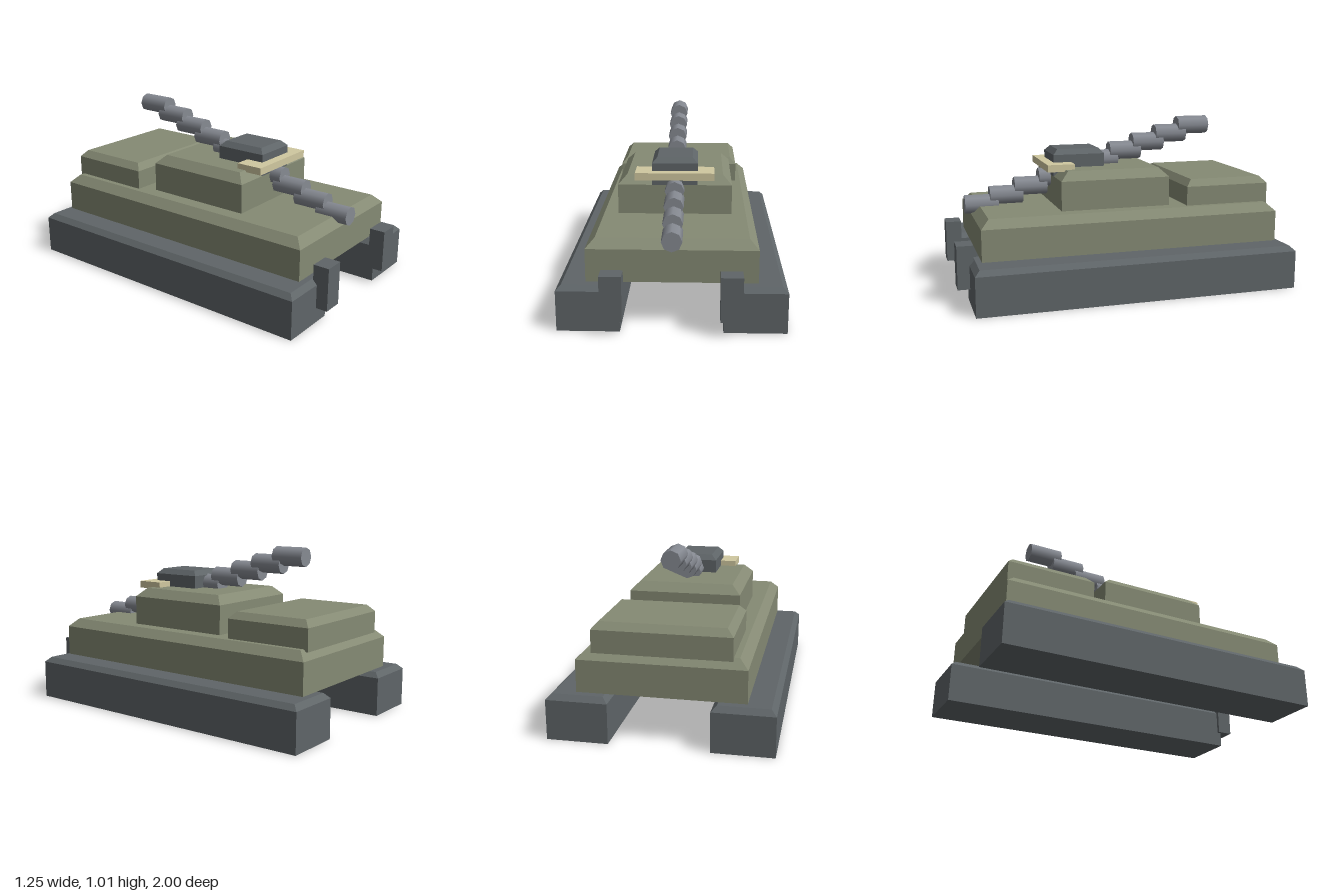
import * as THREE from 'three';

const material = (color, flatShading = true) => new THREE.MeshStandardMaterial({ color, flatShading });

// Box whose upper edges are chamfered: straight walls up to `shoulder`, then inset to `top`.
function chamferedBox(halfWidth, bottom, shoulder, top, back, front, inset) {
  const geo = new THREE.BoxGeometry(2, 2, 2, 1, 2, 1);
  const p = geo.attributes.position;
  for (let i = 0; i < p.count; i++) {
    const level = Math.round(p.getY(i));
    const d = level === 1 ? inset : 0;
    const x = p.getX(i) * (halfWidth - d);
    const z = p.getZ(i) > 0 ? front - d : back + d;
    p.setXYZ(i, x, [bottom, shoulder, top][level + 1], z);
  }
  geo.computeVertexNormals();
  return geo;
}

export function createModel() {
  const model = new THREE.Group();
  const olive = material(0x858a74);
  const dark = material(0x5f6568);
  const sand = material(0xd0c8a0);
  const steel = material(0x868a92, false);

  const add = (name, geometry, mat, x = 0, y = 0, z = 0) => {
    const mesh = new THREE.Mesh(geometry, mat);
    mesh.name = name;
    mesh.position.set(x, y, z);
    model.add(mesh);
    return mesh;
  };

  // Tracks and front guards, mirrored left and right
  for (const [side, s] of [['left', 1], ['right', -1]]) {
    add(side + 'Track', chamferedBox(0.173, 0, 0.23, 0.26, -1, 0.93, 0.03), dark, s * 0.453);
    add(side + 'FrontGuard', new THREE.BoxGeometry(0.12, 0.255, 0.095), dark, s * 0.321, 0.218, 0.9525);
  }

  // Body
  add('hull', chamferedBox(0.468, 0.265, 0.45, 0.5, -0.94, 0.87, 0.05), olive);
  add('engineDeck', chamferedBox(0.386, 0.485, 0.615, 0.655, -0.915, -0.385, 0.037), olive);
  add('turret', chamferedBox(0.334, 0.49, 0.675, 0.727, -0.287, 0.38, 0.052), olive);
  add('hatch', chamferedBox(0.133, 0.675, 0.805, 0.836, 0.063, 0.381, 0.03), dark);
  add('visor', new THREE.BoxGeometry(0.46, 0.043, 0.165), sand, 0, 0.738, 0.355);

  // Stepped barrel: overlapping level segments climbing toward the back
  const segment = new THREE.CylinderGeometry(0.057, 0.057, 0.202, 8).rotateX(Math.PI / 2);
  for (let i = 0; i < 10; i++) {
    add('barrelSegment' + (i + 1), segment, steel, 0, 0.507 + i * 0.0493, 0.806 - i * 0.1515);
  }

  return model;
}
